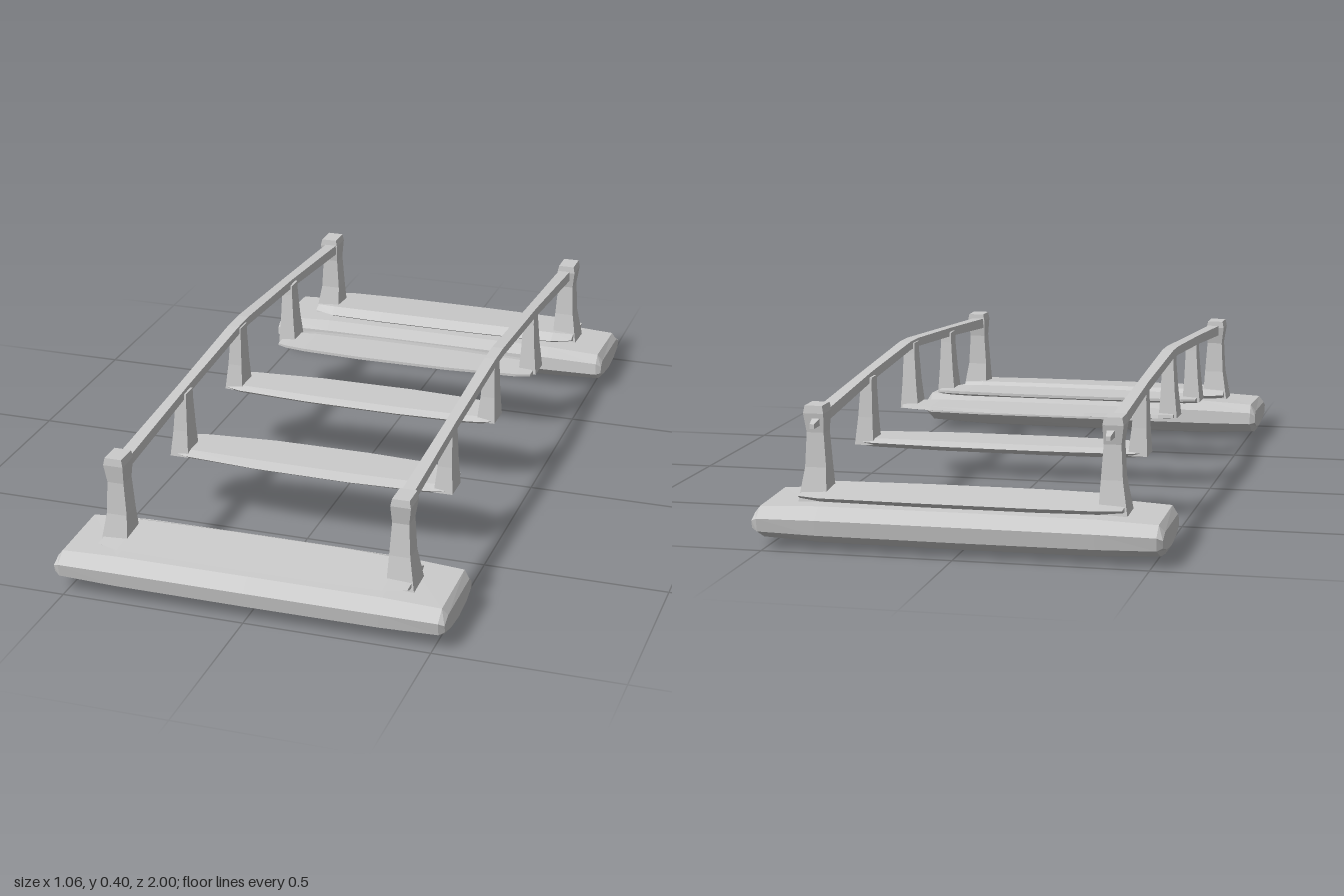
import * as THREE from 'three';

const material = new THREE.MeshStandardMaterial({ color: 0xcccccc, flatShading: true });

// Closed solid through rings of [x, y, z] points, each counter-clockwise seen from the far end
function loft(name, rings) {
  const n = rings[0].length;
  const index = [];
  for (let i = 0; i < rings.length - 1; i++) {
    for (let j = 0; j < n; j++) {
      const a = i * n + j, b = i * n + (j + 1) % n;
      index.push(a, b, b + n, a, b + n, a + n);
    }
  }
  const last = (rings.length - 1) * n;
  for (let j = 1; j < n - 1; j++) {
    index.push(0, j + 1, j, last, last + j, last + j + 1);
  }
  const geo = new THREE.BufferGeometry();
  geo.setAttribute('position', new THREE.Float32BufferAttribute(rings.flat(2), 3));
  geo.setIndex(index);
  const flat = geo.toNonIndexed();
  flat.computeVertexNormals();
  const mesh = new THREE.Mesh(flat, material);
  mesh.name = name;
  return mesh;
}

// Beam along x: a [y, z] section, scaled at each station [x, depthScale, heightScale]
function beam(name, section, stations, cy, cz) {
  return loft(name, stations.map(([x, d, h, dz = 0]) =>
    section.map(([y, z]) => [x, cy + y * h, cz + dz + z * d])));
}

// Upright along y: stations [y, x0, x1, z0, z1]
function post(name, stations) {
  return loft(name, stations.map(([y, x0, x1, z0, z1]) =>
    [[x0, y, z0], [x0, y, z1], [x1, y, z1], [x1, y, z0]]));
}

// Thick foot block, its thin top plank and two waisted end posts
function bridgeEnd(name) {
  const g = new THREE.Group();
  g.name = name;
  const footSection = [[0.058, -0.115], [0.05, 0.1], [0.02, 0.137], [-0.02, 0.13],
    [-0.05, 0.07], [-0.062, -0.01], [-0.045, -0.09], [-0.01, -0.137], [0.03, -0.135]]
    .map(([y, z]) => [y, z]);
  g.add(beam('footBlock', footSection, [
    [-0.53, 0.9, 0.5], [-0.515, 0.96, 0.86], [-0.36, 0.99, 1], [0, 1, 1.02],
    [0.36, 0.99, 1], [0.515, 0.96, 0.86], [0.53, 0.9, 0.5]], 0.063, 0.861));

  const plankSection = [[0.018, -0.07], [0.004, 0.1], [-0.012, 0.07], [-0.018, -0.07], [0, -0.105]];
  g.add(beam('topPlank', plankSection, [
    [-0.42, 0.72, 0.6], [-0.36, 0.95, 0.9], [-0.1, 1.02, 1], [0.2, 1.02, 1],
    [0.36, 0.95, 0.9], [0.42, 0.72, 0.6]], 0.131, 0.87));

  for (const s of [-1, 1]) {
    const p = post('endPost', [
      [0.11, -0.043, 0.032, -0.045, 0.045],
      [0.2, -0.028, 0.028, -0.03, 0.03],
      [0.29, -0.023, 0.022, -0.025, 0.028],
      [0.34, -0.03, 0.024, -0.035, 0.035],
      [0.36, -0.026, 0.02, -0.033, 0.033]]);
    p.position.set(s * 0.385, 0, 0.865);
    if (s > 0) p.rotation.y = Math.PI;
    g.add(p);
  }
  return g;
}

// Hanging step with its two tapered hangers
function step(name, cy, topY, postZ, section) {
  const g = new THREE.Group();
  g.name = name;
  g.add(beam('stepPlank', section, [
    [-0.4, 0.6, 0.7], [-0.36, 0.78, 0.9], [-0.15, 0.97, 1], [0.12, 1, 1],
    [0.3, 0.9, 1], [0.36, 0.78, 0.9], [0.39, 0.6, 0.7]], cy, 0));
  for (const s of [-1, 1]) {
    const p = post('hanger', [
      [cy - 0.005, -0.03, 0.022, -0.042, 0.038],
      [cy + 0.07, -0.022, 0.018, -0.034, 0.03],
      [topY - 0.03, -0.016, 0.016, -0.026, 0.026],
      [topY, -0.016, 0.016, -0.024, 0.024]]);
    p.position.set(s * 0.378, 0, postZ);
    g.add(p);
  }
  return g;
}

// Thin arched handrail along z: stations [z, centre y, half width, half height]
function rail(x) {
  const stations = [
    [-0.93, 0.312, 0.006, 0.006], [-0.84, 0.328, 0.017, 0.015], [-0.43, 0.362, 0.014, 0.013],
    [-0.04, 0.388, 0.016, 0.012], [0.04, 0.387, 0.016, 0.012], [0.43, 0.361, 0.014, 0.013],
    [0.84, 0.331, 0.017, 0.015], [0.88, 0.33, 0.013, 0.012]];
  return loft('handrail', stations.map(([z, y, w, h]) =>
    [[x - w, y - h, z], [x + w, y - h, z], [x + w, y + h, z], [x - w, y + h, z]]));
}

export function createModel() {
  const model = new THREE.Group();
  model.name = 'footbridge';

  // Bridge ends, the back one turned around
  const front = bridgeEnd('frontEnd');
  const back = bridgeEnd('backEnd');
  back.rotation.y = Math.PI;
  model.add(front, back);

  // Outer steps lean their thin edge towards the middle
  const outer = [[0.012, -0.09], [0.012, 0.05], [0.004, 0.09], [-0.012, 0.06], [-0.013, -0.01], [0.004, -0.09]];
  const frontStep = step('frontStep', 0.183, 0.362, 0.022, outer);
  frontStep.position.z = 0.41;
  const backStep = step('backStep', 0.183, 0.362, 0.022, outer);
  backStep.position.z = -0.41;
  backStep.rotation.y = Math.PI;

  // Middle step sits at the crown of the arch
  const middle = [[0.01, -0.083], [0.01, 0.05], [0.002, 0.08], [-0.01, 0.06], [-0.01, -0.03], [0, -0.088]];
  model.add(frontStep, backStep, step('middleStep', 0.209, 0.392, 0.008, middle));

  model.add(rail(-0.382), rail(0.382));
  return model;
}
